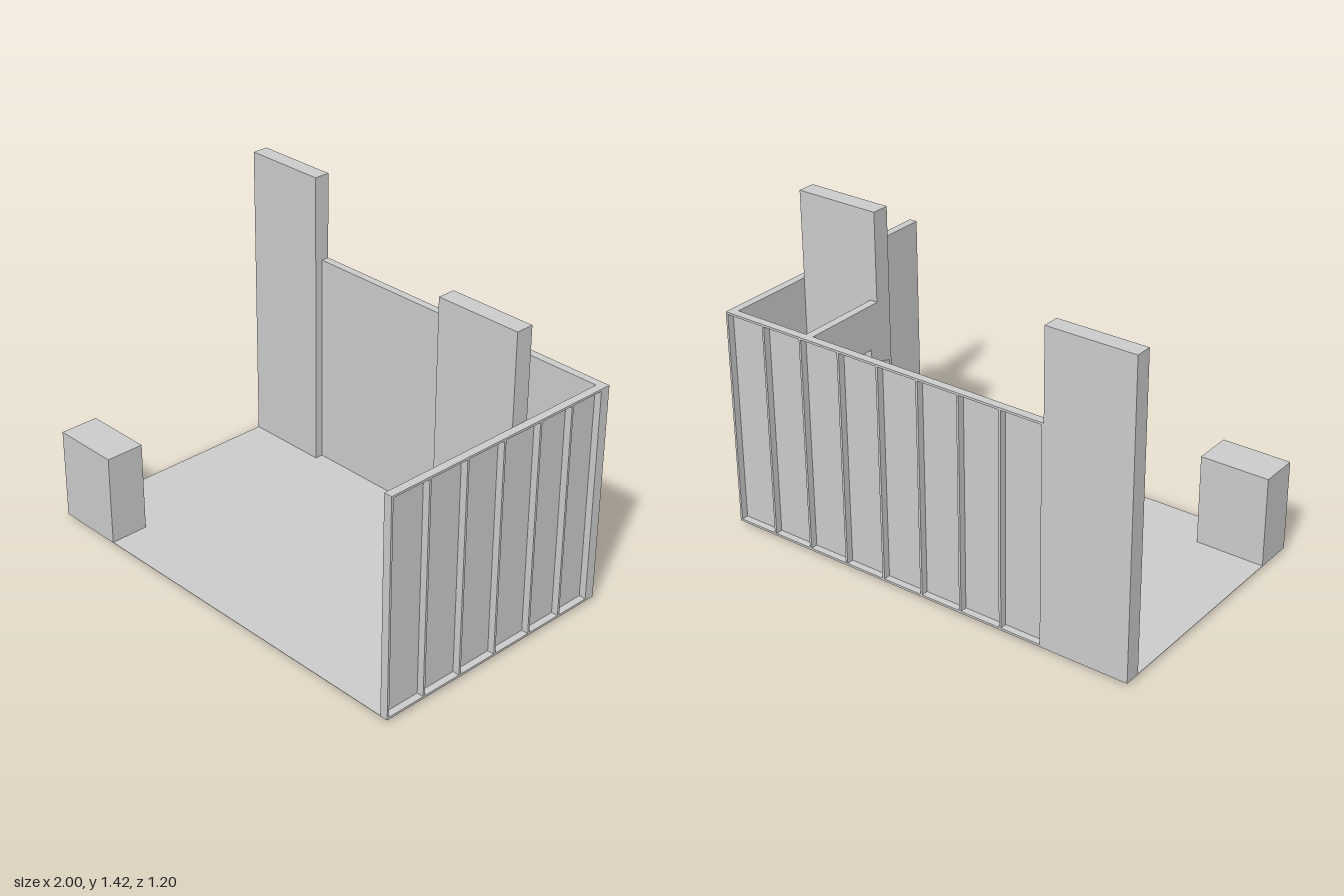
import * as THREE from 'three';

const material = new THREE.MeshStandardMaterial({ color: 0xcccccc, flatShading: true });
const BASE = 0.017, WALL_TOP = 1.017, TALL_TOP = 1.418;
const DEPTH = 0.037, BAR = 0.01, SKIN = 0.005;

// Box given by its limits on each axis
function block(parent, name, [x0, x1], [y0, y1], [z0, z1]) {
  const mesh = new THREE.Mesh(new THREE.BoxGeometry(x1 - x0, y1 - y0, z1 - z0), material);
  mesh.position.set((x0 + x1) / 2, (y0 + y1) / 2, (z0 + z1) / 2);
  mesh.name = name;
  parent.add(mesh);
  return mesh;
}

// Wall along local x, smooth sheet facing +z and open frame facing -z
function framedWall(name, start, end, studs) {
  const wall = new THREE.Group();
  wall.name = name;
  block(wall, 'wallSheet', [start, end], [BASE, WALL_TOP], [DEPTH - SKIN, DEPTH]);
  const depth = [0, DEPTH - SKIN];
  block(wall, 'bottomRail', [start, end], [BASE, BASE + BAR], depth);
  block(wall, 'topRail', [start, end], [WALL_TOP - BAR, WALL_TOP], depth);
  for (const s of studs) {
    block(wall, 'stud', [s - BAR / 2, s + BAR / 2], [BASE + BAR, WALL_TOP - BAR], depth);
  }
  return wall;
}

export function createModel() {
  const booth = new THREE.Group();
  booth.name = 'exhibitionBooth';

  block(booth, 'floor', [-1, 1], [BASE, BASE + 0.002], [-0.6, 0.6]);

  // Back wall, eight bays
  const backStuds = Array.from({ length: 9 }, (_, i) => -0.595 + i * 1.59 / 8);
  const back = framedWall('backWall', -0.6, 1, backStuds);
  back.position.z = -0.6;
  booth.add(back);

  // Side wall, six bays; local x runs towards -z... turned so the frame faces +x
  const side = framedWall('sideWall', -0.6, 0.563, [-0.595, -0.4, -0.2, 0, 0.202, 0.384, 0.558]);
  side.rotation.y = -Math.PI / 2;
  side.scale.x = 1;
  side.position.x = 1;
  // Mirror along the run so that positive local x points to the back
  side.children.forEach((part) => { part.position.x *= -1; });
  booth.add(side);

  // Tall tower at the back corner and low counter at the front corner
  block(booth, 'tower', [-1, -0.6], [BASE, TALL_TOP], [-0.6, -0.525]);
  block(booth, 'counter', [-1, -0.68], [BASE, 0.435], [0.42, 0.6]);

  // Column closing the front of the storage room, with a thin facing sheet
  block(booth, 'column', [0.56, 0.96], [BASE, TALL_TOP], [-0.163, -0.084]);
  block(booth, 'columnFacing', [0.56, 0.96], [0, TALL_TOP], [-0.084, -0.082]);

  // Storage room wall with a doorway
  const outline = new THREE.Shape();
  outline.moveTo(0.163, BASE);
  outline.lineTo(0.21, BASE);
  outline.lineTo(0.21, 0.815);
  outline.lineTo(0.52, 0.815);
  outline.lineTo(0.52, BASE);
  outline.lineTo(0.563, BASE);
  outline.lineTo(0.563, WALL_TOP);
  outline.lineTo(0.163, WALL_TOP);
  const roomWall = new THREE.Mesh(
    new THREE.ExtrudeGeometry(outline, { depth: 0.037, bevelEnabled: false }), material);
  roomWall.name = 'storageWall';
  roomWall.rotation.y = Math.PI / 2;
  roomWall.position.x = 0.558;
  booth.add(roomWall);

  // Door standing ajar, hinged at its rear edge
  const door = new THREE.Group();
  door.name = 'door';
  block(door, 'doorLeaf', [-0.01, 0], [BASE, 0.815], [0, 0.31]);
  door.position.set(0.56, 0, -0.52);
  door.rotation.y = -0.36;
  booth.add(door);

  return booth;
}
